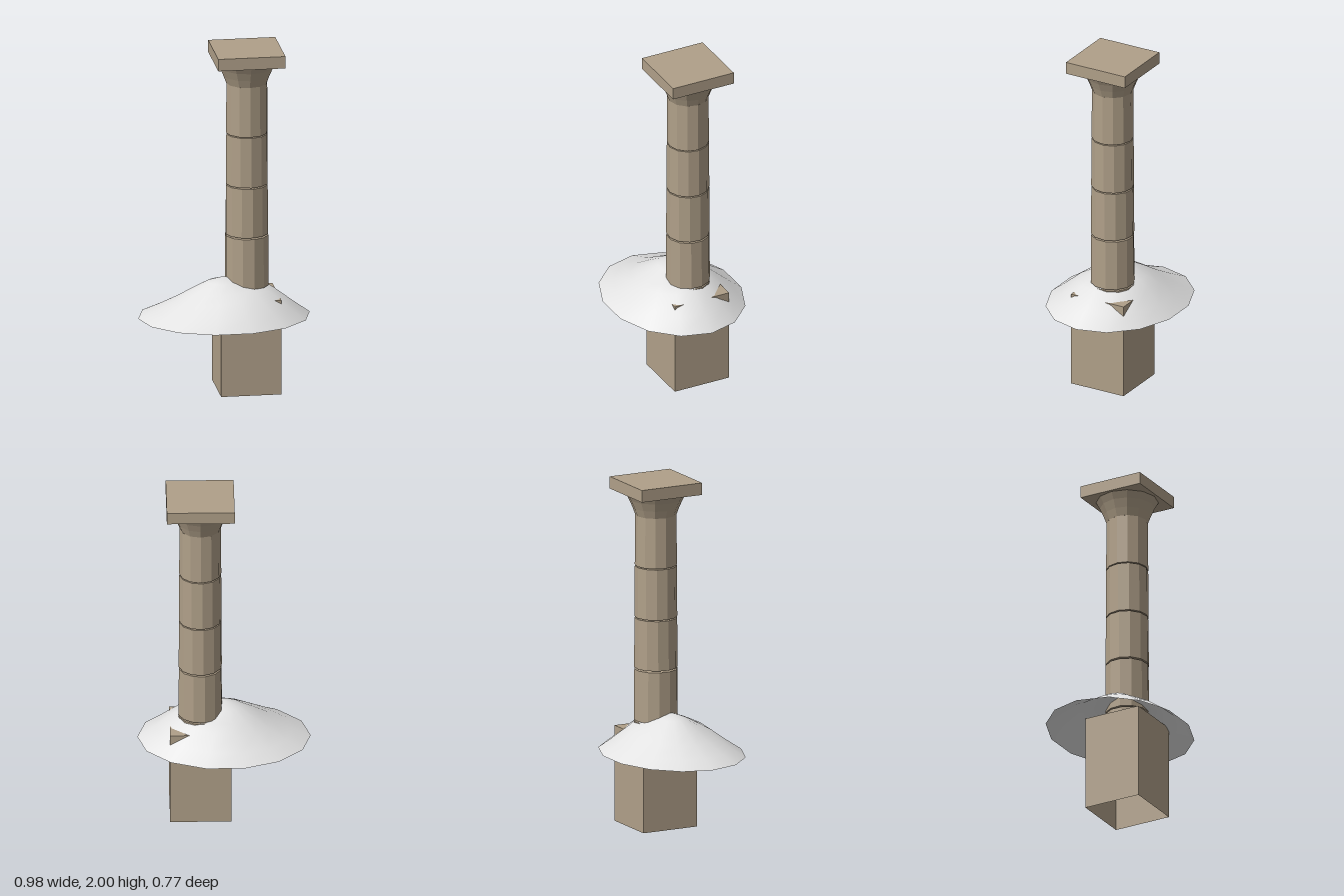
import * as THREE from 'three';

const CX = 0.135, CZ = -0.031; // column axis
const SIDES = 12;

const stone = new THREE.MeshStandardMaterial({ color: 0xb0a089, side: THREE.DoubleSide });
stone.name = 'tan stone';
const snow = new THREE.MeshStandardMaterial({ color: 0xe2e2e2, side: THREE.DoubleSide });
snow.name = 'pale grey ground';

// Faceted copy of a geometry
function faceted(geometry) {
  const g = geometry.index ? geometry.toNonIndexed() : geometry;
  g.computeVertexNormals();
  return g;
}

function addPart(group, name, geometry, material, x = 0, y = 0, z = 0) {
  const mesh = new THREE.Mesh(geometry, material);
  mesh.name = name;
  mesh.position.set(x, y, z);
  group.add(mesh);
  return mesh;
}

// Oval 14-sided mound, steeper towards +x
function moundGeometry() {
  const n = 14;
  // [fraction of rim radius, height fraction, extra height towards +x]
  const rings = [[1, 0, 0], [0.8, 0.245, 0.06], [0.57, 0.55, 0.13], [0.4, 0.705, 0.065], [0.2, 0.875, 0]];
  const pos = [], idx = [];
  for (const [t, h, tilt] of rings) {
    for (let i = 0; i < n; i++) {
      const a = (i / n) * Math.PI * 2;
      pos.push(0.49 * t * Math.cos(a), 0.44 + 0.23 * (h + tilt * Math.cos(a)), 0.395 * t * Math.sin(a));
    }
  }
  const apex = pos.length / 3;
  pos.push(0, 0.67, 0);
  for (let r = 0; r < rings.length; r++) {
    for (let i = 0; i < n; i++) {
      const j = (i + 1) % n, a = r * n + i, b = r * n + j;
      if (r === rings.length - 1) idx.push(a, apex, b);
      else idx.push(a, a + n, b, b, a + n, b + n);
    }
  }
  const g = new THREE.BufferGeometry();
  g.setAttribute('position', new THREE.Float32BufferAttribute(pos, 3));
  g.setIndex(idx);
  g.computeVertexNormals();
  return g;
}

// Square block open at the bottom
function plinthGeometry(w, h) {
  const g = new THREE.BoxGeometry(w, h, w);
  const index = Array.from(g.index.array);
  index.splice(18, 6); // drop the bottom face
  g.setIndex(index);
  g.clearGroups();
  return faceted(g);
}

export function createModel() {
  const group = new THREE.Group();
  group.name = 'column';

  addPart(group, 'plinth', plinthGeometry(0.345, 0.555), stone, CX, 0.2775, CZ);
  addPart(group, 'mound', moundGeometry(), snow);

  // Stacked drums with thin gaps, tapering upwards
  const drums = [[0.555, 0.602], [0.61, 0.905], [0.914, 1.202], [1.209, 1.502], [1.508, 1.8]];
  const radius = (y) => 0.126 - 0.009 * (y - 0.6) / 1.2;
  drums.forEach(([y0, y1], i) => {
    const g = new THREE.CylinderGeometry(radius(y1), radius(y0), y1 - y0, SIDES);
    const drum = addPart(group, 'drum' + (i + 1), faceted(g), stone, CX, (y0 + y1) / 2, CZ);
    drum.rotation.y = 0.26 - i * 0.06;
  });

  // Flared capital
  const flare = [[0.117, 1.8], [0.134, 1.845], [0.155, 1.892], [0.178, 1.932]]
    .map(([r, y]) => new THREE.Vector2(r, y));
  addPart(group, 'capital', faceted(new THREE.LatheGeometry(flare, SIDES)), stone, CX, 0, CZ);

  addPart(group, 'abacus', new THREE.BoxGeometry(0.384, 0.07, 0.386), stone, CX, 1.965, CZ);
  return group;
}
